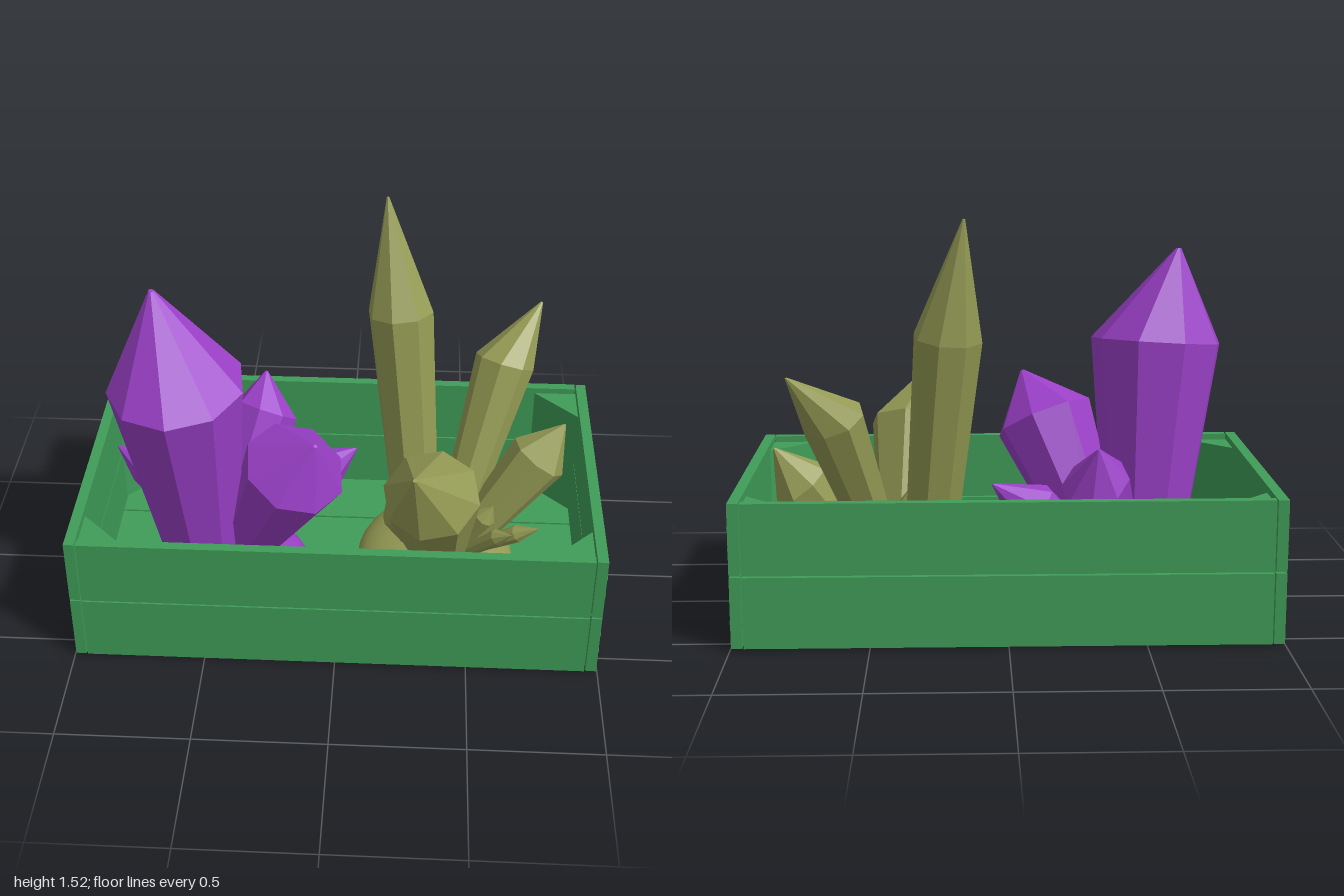
import * as THREE from 'three';

const paint = (color, flatShading = true) => new THREE.MeshStandardMaterial({ color, flatShading });
const GREEN = paint(0x3f9c58);
const PURPLE = paint(0x9b40c8);
const OLIVE = paint(0x949a54);

function addMesh(parent, name, geometry, material, x = 0, y = 0, z = 0) {
  const mesh = new THREE.Mesh(geometry, material);
  mesh.name = name;
  mesh.position.set(x, y, z);
  parent.add(mesh);
  return mesh;
}

// Crystal: a flaring faceted shaft from base to shoulder, closed by an off-axis point
function crystalGeometry(base, shoulder, tip, r0, r1, sides) {
  const b = new THREE.Vector3(...base);
  const s = new THREE.Vector3(...shoulder);
  const t = new THREE.Vector3(...tip);
  const axis = s.clone().sub(b).normalize();
  const turn = new THREE.Quaternion().setFromUnitVectors(new THREE.Vector3(0, 1, 0), axis);
  const positions = [];
  const index = [];
  [[b, r0], [s, r1], [t, r1 * 0.04]].forEach(([centre, r], ring) => {
    for (let i = 0; i < sides; i++) {
      const a = ((i + 0.3) / sides) * Math.PI * 2;
      const p = new THREE.Vector3(Math.cos(a) * r, 0, Math.sin(a) * r).applyQuaternion(turn).add(centre);
      positions.push(p.x, p.y, p.z);
      if (ring === 2) continue;
      const j = (i + 1) % sides;
      const lo = ring * sides;
      const hi = lo + sides;
      index.push(lo + i, hi + i, lo + j, lo + j, hi + i, hi + j);
    }
  });
  // Tiny cap over the blunt tip
  for (let i = 1; i < sides - 1; i++) index.push(2 * sides, 2 * sides + i + 1, 2 * sides + i);
  const geometry = new THREE.BufferGeometry();
  geometry.setAttribute('position', new THREE.Float32BufferAttribute(positions, 3));
  geometry.setIndex(index);
  geometry.computeVertexNormals();
  return geometry;
}

// Cluster: a low mound with crystals fanning out of it
function makeCluster(name, material, mound, crystals) {
  const cluster = new THREE.Group();
  cluster.name = name;
  const dome = addMesh(cluster, 'mound', new THREE.SphereGeometry(1, 32, 10, 0, Math.PI * 2, 0, Math.PI / 2),
    paint(material.color, false), mound.x, 0.035, mound.z);
  dome.scale.set(mound.rx, mound.h, mound.rz);
  for (const [base, shoulder, tip, r0, r1, sides = 8] of crystals) {
    addMesh(cluster, 'crystal', crystalGeometry(base, shoulder, tip, r0, r1, sides), material);
  }
  return cluster;
}

function makeCrate() {
  const crate = new THREE.Group();
  crate.name = 'crate';

  // Floor slats
  for (let i = 0; i < 4; i++) {
    addMesh(crate, 'floorSlat', new THREE.BoxGeometry(1.9, 0.04, 0.265), GREEN, 0, 0.02, (i - 1.5) * 0.274);
  }

  // Two stacked boards on every side
  for (const side of [-1, 1]) {
    for (const y of [0.142, 0.412]) {
      addMesh(crate, 'longBoard', new THREE.BoxGeometry(1.9, 0.264, 0.038), GREEN, 0, y, side * 0.566);
      addMesh(crate, 'endBoard', new THREE.BoxGeometry(0.04, 0.264, 1.165), GREEN, side * 0.975, y, 0);

      // Nail heads on the end boards
      for (const z of [-0.56, 0.56]) {
        for (const dy of [-0.04, 0.04]) {
          const nail = addMesh(crate, 'nail', new THREE.SphereGeometry(0.014, 8, 6), GREEN, side * 0.995, y + dy, z);
          nail.scale.x = 0.36;
        }
      }
    }

    // Triangular corner posts
    for (const front of [-1, 1]) {
      const x = side * 0.953;
      const z = front * 0.547;
      const shape = new THREE.Shape([
        new THREE.Vector2(x, -z),
        new THREE.Vector2(x - side * 0.17, -z),
        new THREE.Vector2(x, -z + front * 0.17),
      ]);
      const post = new THREE.ExtrudeGeometry(shape, { depth: 0.48, bevelEnabled: false });
      post.rotateX(-Math.PI / 2);
      addMesh(crate, 'cornerPost', post, GREEN, 0, 0.04, 0);
    }
  }
  return crate;
}

export function createModel() {
  const model = new THREE.Group();
  model.name = 'crateOfCrystals';
  model.add(makeCrate());

  // Each crystal: base, shoulder, tip, base radius, shoulder radius, sides
  model.add(makeCluster('purpleCluster', PURPLE, { x: -0.42, z: 0.06, rx: 0.29, rz: 0.29, h: 0.13 }, [
    [[-0.55, 0.04, 0.08], [-0.605, 1.0, 0.19], [-0.68, 1.37, 0.14], 0.14, 0.26, 9],
    [[-0.42, 0.05, 0.0], [-0.165, 0.68, 0.25], [-0.08, 0.855, 0.35], 0.09, 0.2],
    [[-0.5, 0.05, -0.02], [-0.325, 0.55, -0.325], [-0.33, 0.69, -0.4], 0.06, 0.13],
    [[-0.5, 0.06, -0.03], [-0.8, 0.35, -0.18], [-0.93, 0.43, -0.2], 0.06, 0.09],
    [[-0.45, 0.08, -0.02], [-0.1, 0.4, -0.12], [0.05, 0.5, -0.14], 0.05, 0.11],
    [[-0.5, 0.06, -0.08], [-0.53, 0.27, -0.3], [-0.54, 0.32, -0.34], 0.03, 0.06],
    [[-0.53, 0.06, -0.08], [-0.62, 0.24, -0.26], [-0.65, 0.29, -0.3], 0.025, 0.045],
    [[-0.52, 0.06, -0.08], [-0.58, 0.2, -0.22], [-0.59, 0.24, -0.25], 0.02, 0.035],
  ]));

  model.add(makeCluster('oliveCluster', OLIVE, { x: 0.38, z: -0.02, rx: 0.32, rz: 0.38, h: 0.15 }, [
    [[0.31, 0.04, -0.1], [0.215, 1.08, -0.25], [0.155, 1.52, -0.345], 0.09, 0.13],
    [[0.42, 0.05, -0.03], [0.635, 0.8, -0.35], [0.78, 0.98, -0.52], 0.06, 0.12],
    [[0.4, 0.05, 0.0], [0.35, 0.64, 0.34], [0.285, 0.855, 0.54], 0.09, 0.185],
    [[0.45, 0.05, -0.03], [0.78, 0.5, -0.12], [0.875, 0.645, -0.14], 0.06, 0.12],
    [[0.36, 0.06, 0.0], [0.22, 0.3, 0.02], [0.18, 0.38, 0.04], 0.04, 0.065],
    [[0.38, 0.06, 0.0], [0.36, 0.4, 0.0], [0.35, 0.48, -0.02], 0.03, 0.05],
    [[0.43, 0.06, -0.08], [0.44, 0.3, -0.24], [0.45, 0.38, -0.3], 0.025, 0.045],
    [[0.42, 0.06, 0.0], [0.57, 0.32, 0.05], [0.6, 0.38, 0.06], 0.025, 0.045],
    [[0.44, 0.08, 0.0], [0.7, 0.28, 0.1], [0.78, 0.33, 0.13], 0.02, 0.035],
    [[0.44, 0.08, 0.02], [0.62, 0.29, 0.14], [0.67, 0.34, 0.19], 0.02, 0.035],
  ]));
  return model;
}
